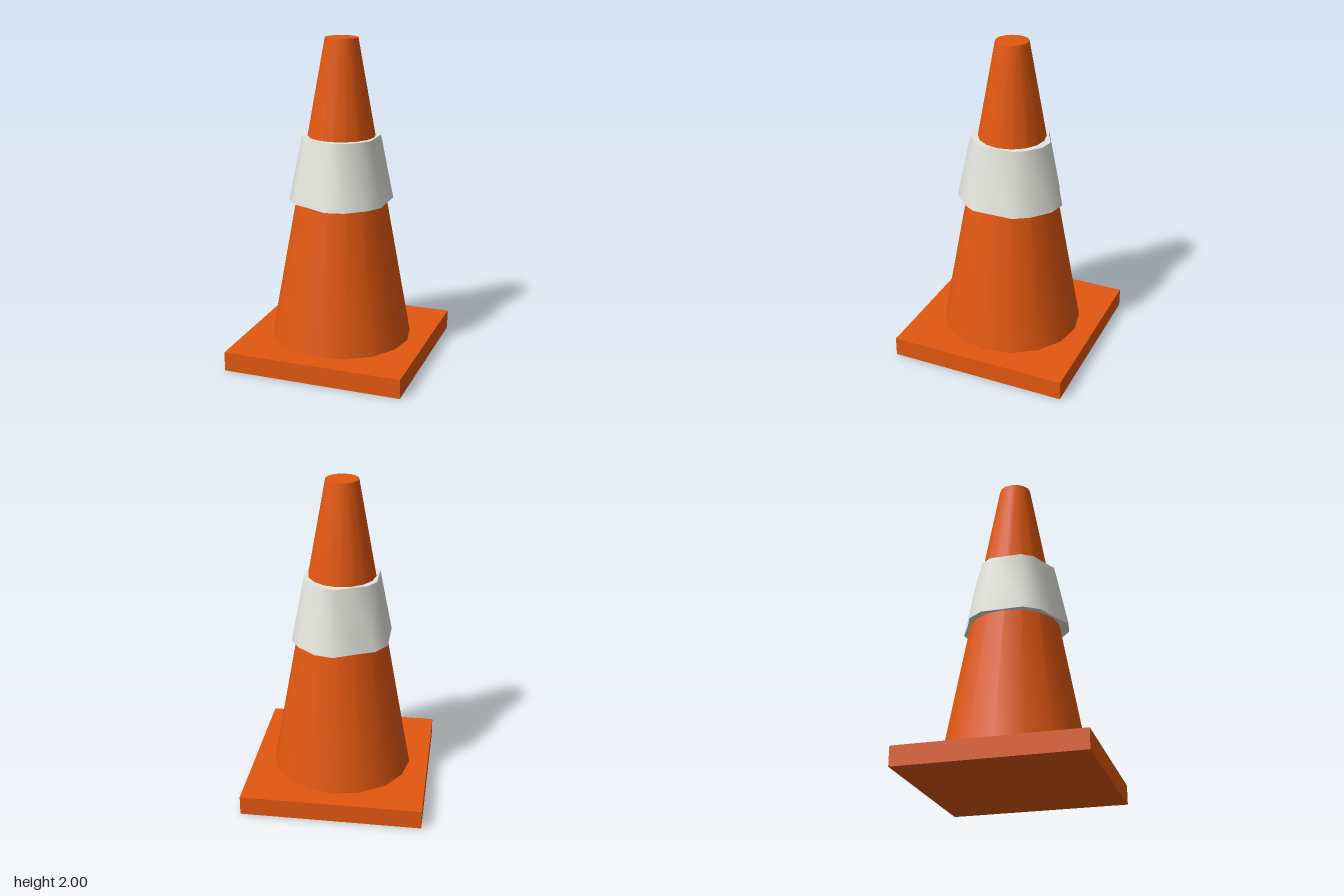
import * as THREE from 'three';
import { toCreasedNormals } from 'three/addons/utils/BufferGeometryUtils.js';

export function createModel() {
  const orange = new THREE.MeshStandardMaterial({ color: 0xe35810 });
  orange.name = 'orange';
  const white = new THREE.MeshStandardMaterial({ color: 0xe5e5de });
  white.name = 'offWhite';

  const model = new THREE.Group();
  model.name = 'trafficCone';
  const add = (name, geometry, material, y) => {
    const mesh = new THREE.Mesh(geometry, material);
    mesh.name = name;
    mesh.position.y = y;
    model.add(mesh);
  };

  // Square foot
  add('base', new THREE.BoxGeometry(1.12, 0.12, 1.12), orange, 0.06);

  // Tapered body
  add('coneBody', new THREE.CylinderGeometry(0.1, 0.44, 1.88, 16), orange, 1.06);

  // Loose band: an uneven outline mirrored front to back, narrowing upwards
  const half = [
    [0.295, 0.13], [0.235, 0.223], [0.125, 0.313], [0.01, 0.337],
    [-0.11, 0.275], [-0.23, 0.223], [-0.295, 0.13],
  ];
  const outline = [...half, ...half.map(([x, z]) => [x, -z]).reverse()];
  const shape = new THREE.Shape(outline.map(([x, z]) => new THREE.Vector2(x, z)));
  const height = 0.4;
  const band = new THREE.ExtrudeGeometry(shape, { depth: height, bevelEnabled: false });
  band.rotateX(-Math.PI / 2);
  const p = band.attributes.position;
  for (let i = 0; i < p.count; i++) {
    const s = 1 - 0.25 * (p.getY(i) / height);
    p.setXYZ(i, p.getX(i) * s, p.getY(i), p.getZ(i) * s);
  }
  add('reflectiveBand', toCreasedNormals(band, 0.8), white, 1.005);

  return model;
}
